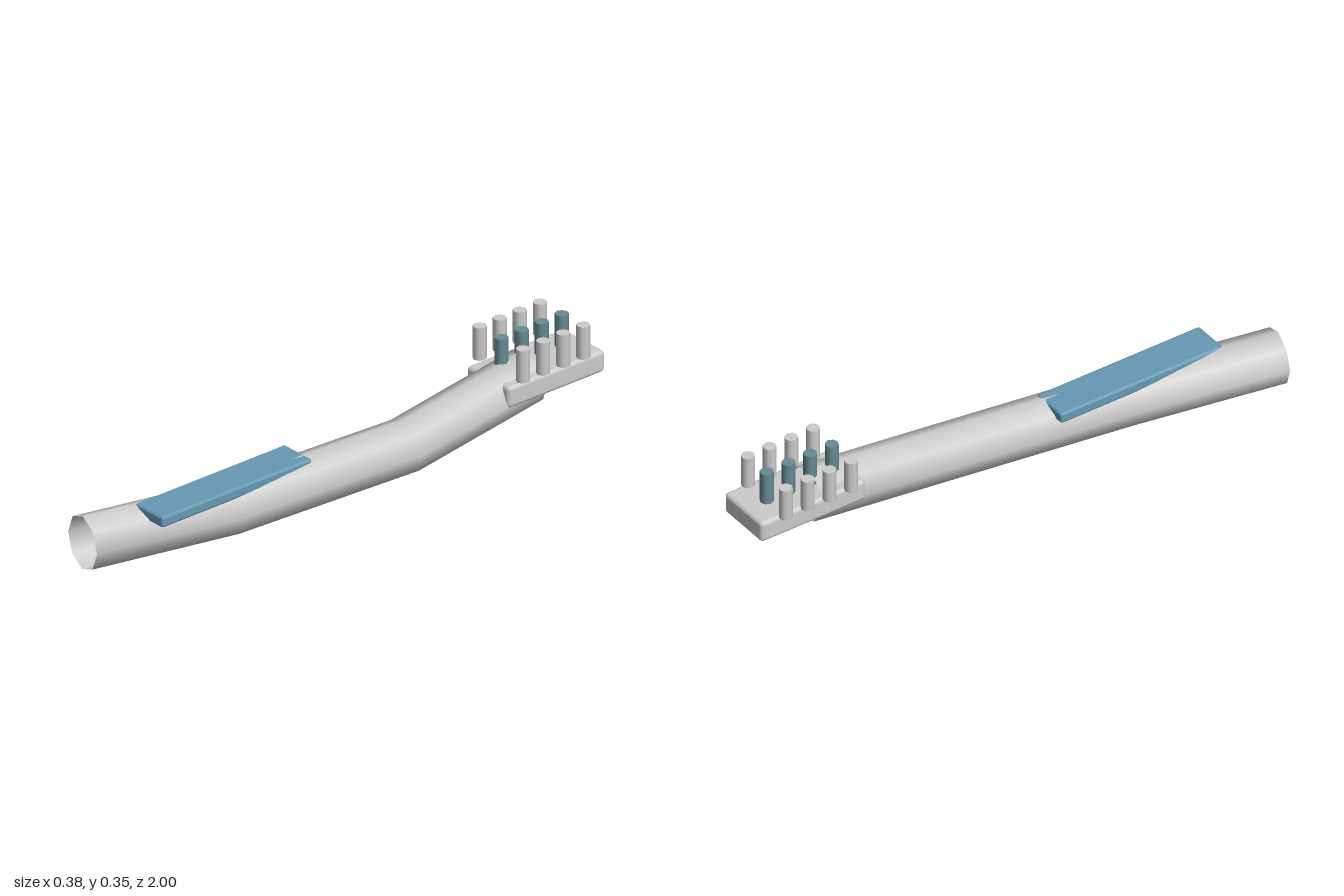
import * as THREE from 'three';
import { RoundedBoxGeometry } from 'three/addons/geometries/RoundedBoxGeometry.js';

const grey = new THREE.MeshStandardMaterial({ color: 0xcccccc });
const greyOpen = new THREE.MeshStandardMaterial({ color: 0xcccccc, side: THREE.DoubleSide });
const blue = new THREE.MeshStandardMaterial({ color: 0x6699b3 });
const teal = new THREE.MeshStandardMaterial({ color: 0x668c94 });

// Open pipe with a mitred ring at every point of the path
function pipe(points, radius, sides) {
  const positions = [], index = [];
  const up = new THREE.Vector3(0, 1, 0);
  const last = points.length - 1;
  points.forEach((p, i) => {
    const before = p.clone().sub(points[Math.max(i - 1, 0)]).normalize();
    const after = points[Math.min(i + 1, last)].clone().sub(p).normalize();
    const dir = before.add(after).normalize();
    const side = new THREE.Vector3().crossVectors(dir, up).normalize();
    const top = new THREE.Vector3().crossVectors(side, dir);
    for (let j = 0; j < sides; j++) {
      const a = (j / sides) * Math.PI * 2;
      const v = p.clone()
        .addScaledVector(side, Math.cos(a) * radius)
        .addScaledVector(top, Math.sin(a) * radius);
      positions.push(v.x, v.y, v.z);
    }
  });
  for (let i = 0; i < last; i++) {
    for (let j = 0; j < sides; j++) {
      const a = i * sides + j, b = i * sides + ((j + 1) % sides);
      index.push(a, b, a + sides, b, b + sides, a + sides);
    }
  }
  const g = new THREE.BufferGeometry();
  g.setAttribute('position', new THREE.Float32BufferAttribute(positions, 3));
  // winding: side x top points backwards along the path, so flip to face outward
  for (let k = 0; k < index.length; k += 3) {
    [index[k + 1], index[k + 2]] = [index[k + 2], index[k + 1]];
  }
  g.setIndex(index);
  g.computeVertexNormals();
  // make sure the normals point away from the path
  const n = g.attributes.normal, q = g.attributes.position;
  const out = new THREE.Vector3().fromBufferAttribute(q, 0).sub(points[0]);
  if (out.dot(new THREE.Vector3().fromBufferAttribute(n, 0)) < 0) {
    for (let k = 0; k < index.length; k += 3) {
      [index[k + 1], index[k + 2]] = [index[k + 2], index[k + 1]];
    }
    g.setIndex(index);
    g.computeVertexNormals();
  }
  return g;
}

export function createModel() {
  const model = new THREE.Group();
  const add = (name, geometry, material, x = 0, y = 0, z = 0) => {
    const mesh = new THREE.Mesh(geometry, material);
    mesh.name = name;
    mesh.position.set(x, y, z);
    model.add(mesh);
  };

  // Bent eight-sided neck, open at both ends
  const path = [
    [-0.098, 0.107, 0.978],
    [0.007, 0.099, 0.455],
    [0.082, 0.122, -0.23],
    [0.072, 0.195, -0.758],
  ].map((p) => new THREE.Vector3(...p));
  add('neck', pipe(path, 0.094, 8), greyOpen);

  // Flat plate let into the top of the neck
  add('plate', new RoundedBoxGeometry(0.136, 0.04, 0.635, 2, 0.01), blue, 0.007, 0.181, 0.472);

  // Head block and its three rows of pegs
  add('head', new RoundedBoxGeometry(0.21, 0.078, 0.41, 2, 0.015), grey, 0.071, 0.204, -0.795);
  const peg = new THREE.CylinderGeometry(0.023, 0.023, 0.116, 8);
  const rows = [['rightPeg', -0.046, grey], ['middlePeg', 0.061, teal], ['leftPeg', 0.166, grey]];
  for (const [name, x, material] of rows) {
    for (let i = 0; i < 4; i++) {
      add(name + (i + 1), peg, material, x, 0.302, -0.658 - i * 0.085);
    }
  }
  return model;
}
